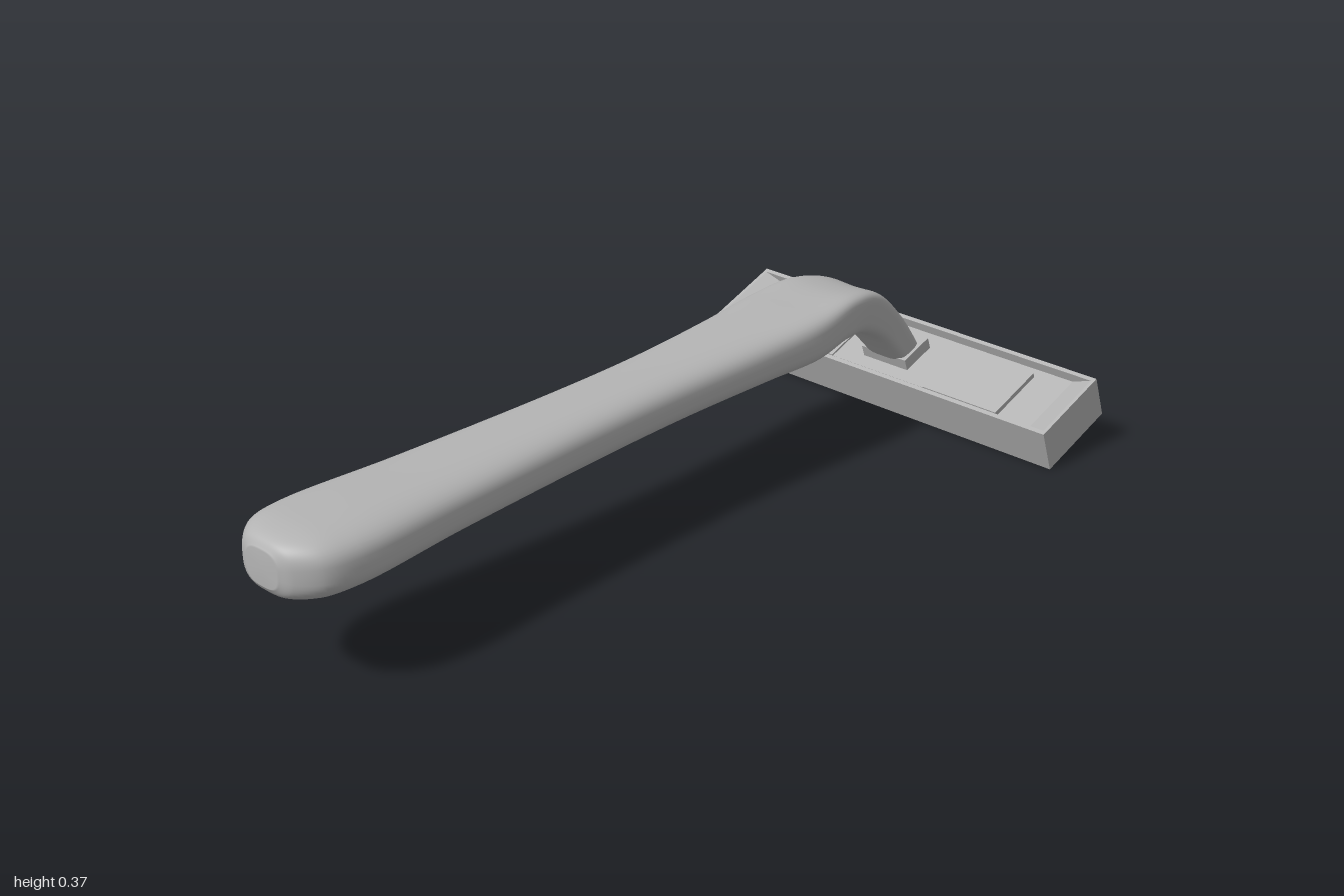
import * as THREE from 'three';

const grey = new THREE.MeshStandardMaterial({ color: 0xb4b4b4 });
grey.name = 'grey plastic';

// Handle stations: top x, top y, half width, bottom x, bottom y, dip of the top surface
const STATIONS = [
  [-1.0, 0.315, 0.045, -1.0, 0.24, 0],
  [-0.985, 0.333, 0.075, -0.985, 0.222, 0],
  [-0.94, 0.344, 0.116, -0.94, 0.213, 0],
  [-0.86, 0.347, 0.132, -0.86, 0.213, 0],
  [-0.6, 0.346, 0.117, -0.6, 0.224, 0],
  [-0.2, 0.35, 0.099, -0.2, 0.234, 0],
  [0.05, 0.355, 0.098, 0.05, 0.24, 0],
  [0.3, 0.366, 0.11, 0.3, 0.245, 0.003],
  [0.46, 0.376, 0.118, 0.45, 0.25, 0.008],
  [0.59, 0.382, 0.104, 0.56, 0.266, 0.015],
  [0.7, 0.35, 0.084, 0.64, 0.256, 0.012],
  [0.8, 0.265, 0.068, 0.73, 0.212, 0.007],
  [0.87, 0.18, 0.06, 0.8, 0.148, 0.002],
  [0.905, 0.128, 0.056, 0.84, 0.1, 0],
];

function handleGeometry() {
  const tops = new THREE.CatmullRomCurve3(STATIONS.map(s => new THREE.Vector3(s[0], s[1], s[2])));
  const lows = new THREE.CatmullRomCurve3(STATIONS.map(s => new THREE.Vector3(s[3], s[4], s[5])));
  const rings = 91, sides = 48, pos = [], index = [];
  const power = (v, e) => Math.sign(v) * Math.abs(v) ** e;
  for (let i = 0; i < rings; i++) {
    const t = i / (rings - 1), a = tops.getPoint(t), b = lows.getPoint(t);
    const e = 2 / (2.9 + 1.3 * THREE.MathUtils.smoothstep(t, 0.5, 0.75));
    for (let j = 0; j < sides; j++) {
      const ang = j / sides * Math.PI * 2;
      const c = power(Math.cos(ang), e), s = power(Math.sin(ang), e);
      const k = (s + 1) / 2;
      const dip = Math.max(s, 0) * b.z * (1 - c * c);
      pos.push(b.x + (a.x - b.x) * k, b.y + (a.y - b.y) * k - dip, a.z * c - 0.003);
    }
  }
  for (let i = 0; i < rings - 1; i++) {
    for (let j = 0; j < sides; j++) {
      const p = i * sides + j, q = i * sides + (j + 1) % sides;
      index.push(p, p + sides, q, q, p + sides, q + sides);
    }
  }
  // Rounded butt end
  const centre = pos.length / 3;
  pos.push(-1.0, 0.277, -0.003);
  for (let j = 0; j < sides; j++) index.push(centre, j, (j + 1) % sides);
  const g = new THREE.BufferGeometry();
  g.setAttribute('position', new THREE.Float32BufferAttribute(pos, 3));
  g.setIndex(index);
  g.computeVertexNormals();
  return g;
}

function add(parent, name, geometry, x = 0, y = 0, z = 0, tilt = 0) {
  const m = new THREE.Mesh(geometry, grey);
  m.name = name;
  m.position.set(x, y, z);
  m.rotation.z = tilt;
  parent.add(m);
  return m;
}

const box = (w, h, d) => new THREE.BoxGeometry(w, h, d);

function buildHead() {
  const head = new THREE.Group();
  head.name = 'head';
  const U = 0.104, V = 0.052, Z = 0.49, rim = 0.011;

  // Core with a sloped tray above and a blade slot below
  const outline = [
    [-Z, -V], [-0.46, -V], [-0.46, -0.02], [0.46, -0.02], [0.46, -V], [Z, -V],
    [Z, V], [Z - 0.008, V], [0.43, 0.03], [-0.43, 0.03], [-Z + 0.008, V], [-Z, V],
  ].map(p => new THREE.Vector2(...p));
  const depth = 2 * (U - rim);
  const core = new THREE.ExtrudeGeometry(new THREE.Shape(outline), { depth, bevelEnabled: false });
  core.translate(0, 0, -depth / 2).rotateY(Math.PI / 2);
  add(head, 'headCore', core);

  // Long walls
  for (const s of [-1, 1]) {
    add(head, s > 0 ? 'frontWall' : 'rearWall', box(rim, 2 * V, 2 * Z), s * (U - rim / 2), 0, 0);
  }

  // Raised panels on the tray
  for (const s of [-1, 1]) {
    add(head, 'sidePanel', box(0.15, 0.012, 0.206), -0.006, 0.035, s * 0.238);
  }
  add(head, 'centrePanel', box(0.15, 0.009, 0.266), -0.006, 0.034, 0);
  add(head, 'neckClip', box(0.09, 0.045, 0.128), -0.002, 0.045, 0);

  // Blades and guard bar in the slot
  add(head, 'upperBlade', box(0.028, 0.006, 0.92), 0.074, -0.04, 0, 0.3);
  add(head, 'lowerBlade', box(0.034, 0.006, 0.92), 0.016, -0.04, 0, 0.3);
  add(head, 'guardBar', box(0.045, 0.024, 0.92), -0.055, -0.034, 0, 0.25);

  head.position.set(0.88, 0.092, 0);
  head.rotation.z = 0.355;
  return head;
}

export function createModel() {
  const model = new THREE.Group();
  model.name = 'safetyRazor';
  add(model, 'handle', handleGeometry());
  model.add(buildHead());
  return model;
}
